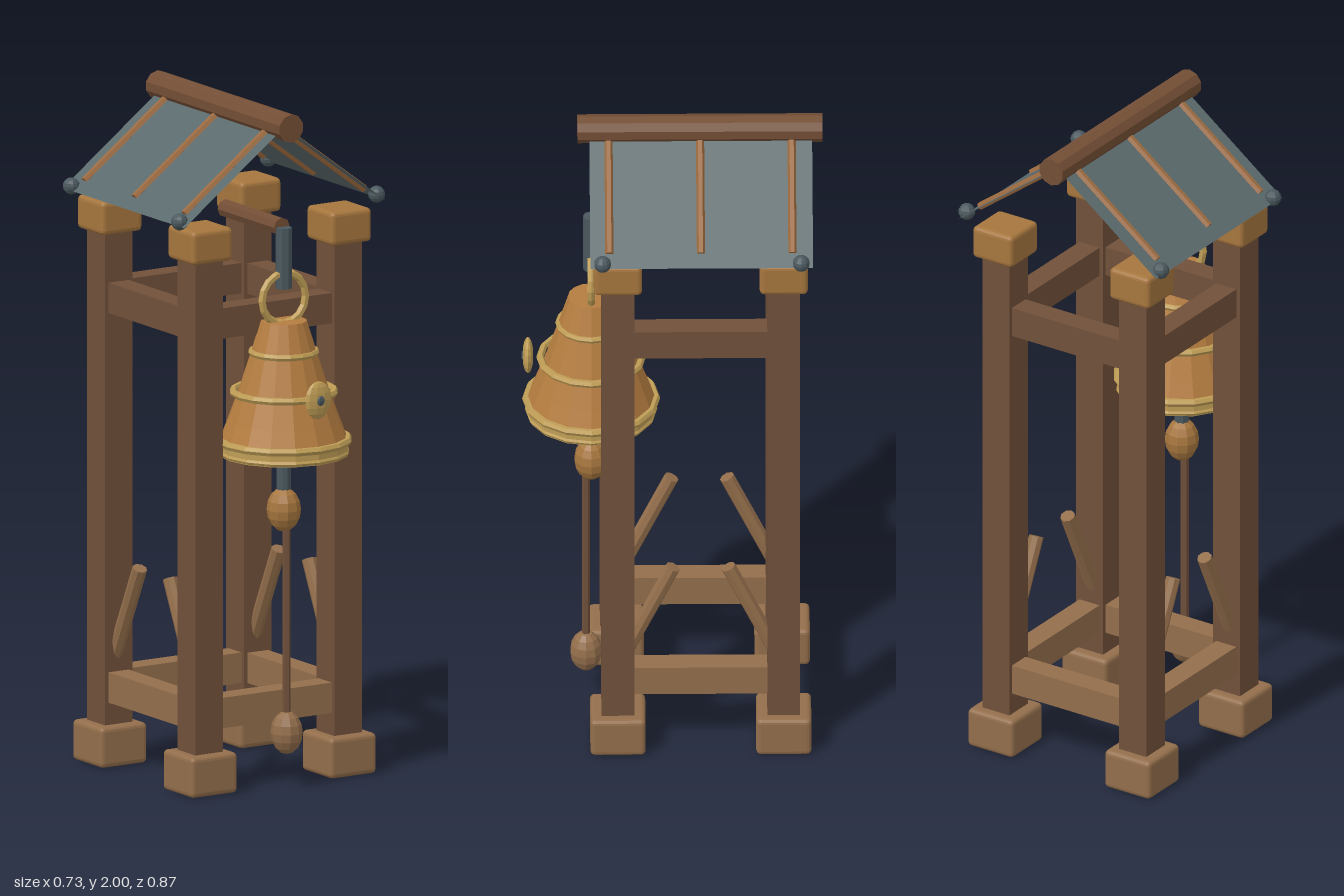
import * as THREE from 'three';
import { RoundedBoxGeometry } from 'three/addons/geometries/RoundedBoxGeometry.js';

const mat = (name, color, side = THREE.FrontSide) =>
  Object.assign(new THREE.MeshStandardMaterial({ color, flatShading: true, side }), { name });

export function createModel() {
  const model = new THREE.Group();
  model.name = 'bellTower';

  const darkWood = mat('dark wood', 0x70503a);
  const paleWood = mat('pale wood', 0x936e4b);
  const ridgeWood = mat('ridge wood', 0x734e35);
  const slatWood = mat('slat wood', 0x9c6a3f);
  const capWood = mat('cap wood', 0xa6763e);
  const bronze = mat('bronze', 0xb57d40);
  const gold = mat('gold', 0xbf9d55);
  const iron = mat('iron', 0x4a585e);
  const slate = mat('slate', 0x5b6a6d, THREE.DoubleSide);

  const add = (name, geometry, material, x = 0, y = 0, z = 0, parent = model) => {
    const mesh = new THREE.Mesh(geometry, material);
    mesh.name = name;
    mesh.position.set(x, y, z);
    parent.add(mesh);
    return mesh;
  };
  // Round bar between two points
  const bar = (name, a, b, r, sides, material) => {
    const from = new THREE.Vector3(...a), to = new THREE.Vector3(...b);
    const dir = to.clone().sub(from);
    const mesh = add(name, new THREE.CylinderGeometry(r, r, dir.length(), sides), material);
    mesh.position.copy(from).add(to).multiplyScalar(0.5);
    mesh.quaternion.setFromUnitVectors(new THREE.Vector3(0, 1, 0), dir.normalize());
    return mesh;
  };
  // Faceted ellipsoid
  const knob = (name, rx, ry, rz, material, x, y, z) =>
    add(name, new THREE.SphereGeometry(1, 10, 8).scale(rx, ry, rz), material, x, y, z);

  // Frame: four posts with feet, caps and leaning braces
  const px = 0.24, midZ = -0.08, halfZ = 0.24;
  for (const sx of [-1, 1]) {
    for (const sz of [-1, 1]) {
      const x = sx * px, z = midZ + sz * halfZ;
      add('post', new THREE.BoxGeometry(0.095, 1.5, 0.095), darkWood, x, 0.85, z);
      add('foot', new RoundedBoxGeometry(0.16, 0.12, 0.16, 2, 0.014), paleWood, x, 0.064, z);
      add('cap', new RoundedBoxGeometry(0.14, 0.1, 0.14, 2, 0.014), capWood, x, 1.63, z);
      bar('brace', [x, 0.31, midZ + sz * 0.22], [x, 0.605, midZ + sz * 0.08], 0.022, 8, paleWood);
    }
  }

  // Horizontal beams around the frame, low and high
  for (const [y, material] of [[0.235, paleWood], [1.39, darkWood]]) {
    for (const s of [-1, 1]) {
      add('crossBeam', new THREE.BoxGeometry(0.42, 0.09, 0.07), material, 0, y, midZ + s * halfZ);
      add('sideBeam', new THREE.BoxGeometry(0.07, 0.09, 0.42), material, s * px, y, midZ);
    }
  }

  // Roof: ridge pole, thin sloping panels, slats and corner balls
  bar('ridgePole', [0, 1.96, 0.275], [0, 1.96, -0.435], 0.042, 10, ridgeWood);
  const slope = Math.atan2(0.26, 0.347), run = Math.hypot(0.26, 0.347);
  for (const s of [-1, 1]) {
    const panel = add('roofPanel', new THREE.PlaneGeometry(run, 0.645).rotateX(-Math.PI / 2),
      slate, s * 0.1735, 1.83, -0.082);
    panel.rotation.z = -s * slope;
    for (const z of [0.185, -0.08, -0.345]) {
      bar('roofSlat', [0, 1.96, z], [s * 0.31, 1.728, z], 0.012, 6, slatWood);
    }
    for (const z of [0.205, -0.37]) knob('cornerBall', 0.025, 0.025, 0.025, iron, s * 0.34, 1.712, z);
  }

  // Hanging arm, hook and ring
  const bz = 0.235;
  bar('hangingArm', [0, 1.66, 0.225], [0, 1.66, -0.075], 0.027, 8, ridgeWood);
  bar('hook', [0, 1.48, bz], [0, 1.66, bz], 0.024, 8, iron);
  add('hangingRing', new THREE.TorusGeometry(0.075, 0.012, 6, 16), gold, 0, 1.45, bz);

  // Bell body with base disc and raised rings
  const profile = [[0.188, 1.03], [0.165, 1.09], [0.132, 1.18], [0.1, 1.28], [0.067, 1.385], [0, 1.385]]
    .map(([r, y]) => new THREE.Vector2(r, y));
  add('bellBody', new THREE.LatheGeometry(profile, 16), bronze, 0, 0, bz);
  add('bellBase', new THREE.CylinderGeometry(0.188, 0.188, 0.045, 16), gold, 0, 1.012, bz);
  for (const [r, y, t] of [[0.094, 1.293, 0.01], [0.148, 1.175, 0.011], [0.188, 1.033, 0.012], [0.182, 0.998, 0.01]]) {
    add('bellRing', new THREE.TorusGeometry(r, t, 6, 16).rotateX(Math.PI / 2), gold, 0, y, bz);
  }

  // Medallion on the bell front
  knob('medallion', 0.045, 0.056, 0.016, gold, 0, 1.182, 0.418);
  knob('medallionStud', 0.021, 0.021, 0.018, iron, 0, 1.182, 0.42);

  // Clapper, pull rod and handle
  bar('clapperRod', [0, 0.85, bz], [0, 1.0, bz], 0.021, 8, iron);
  knob('clapper', 0.05, 0.066, 0.05, capWood, 0, 0.825, bz);
  bar('pullRod', [0, 0.18, 0.25], [0, 0.82, 0.25], 0.012, 6, darkWood);
  knob('pullHandle', 0.047, 0.064, 0.047, paleWood, 0, 0.166, 0.25);

  return model;
}
